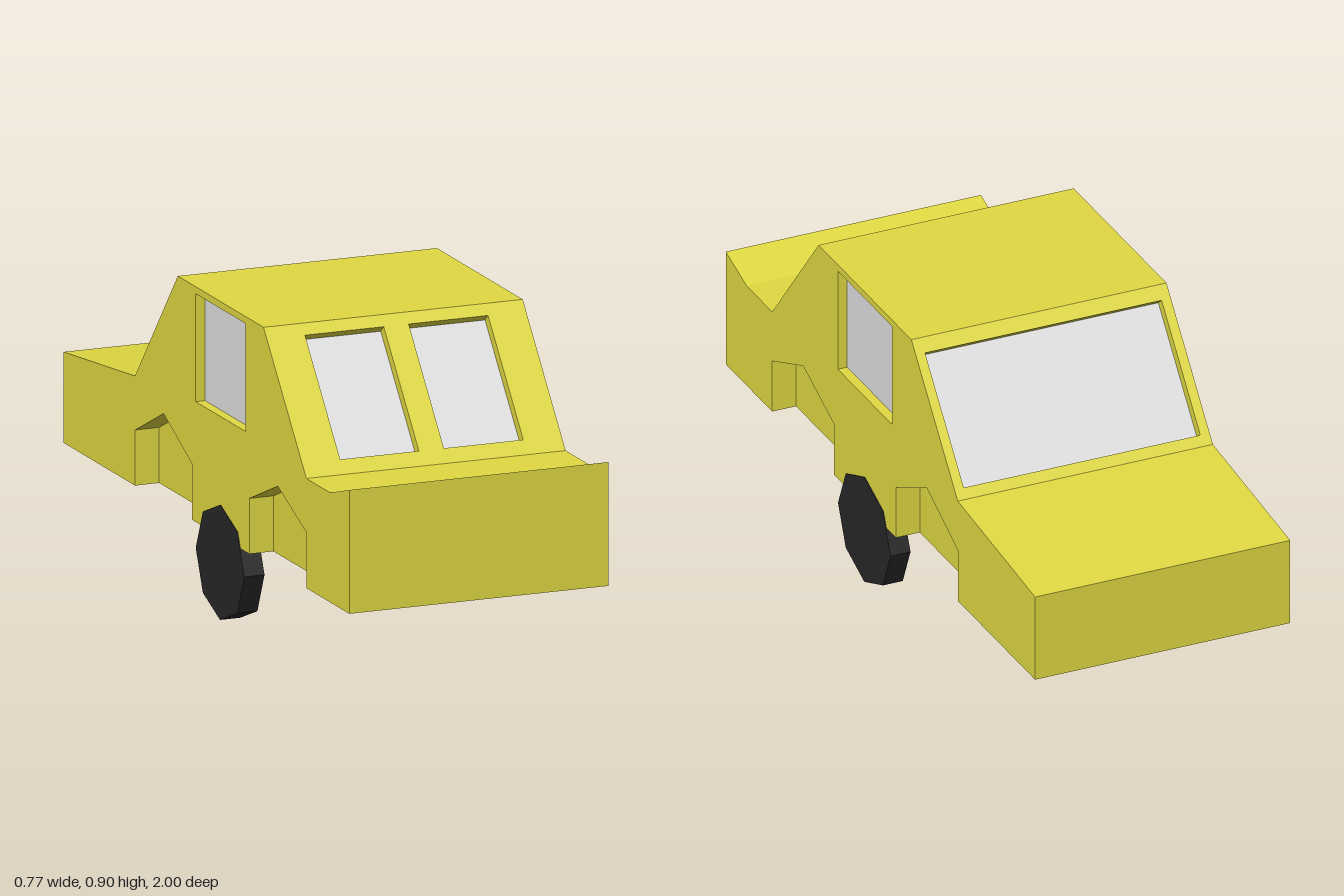
import * as THREE from 'three';

const paint = new THREE.MeshStandardMaterial({ color: 0xe0d942 });
paint.name = 'yellow paint';
const glass = new THREE.MeshStandardMaterial({ color: 0xe0e0e0 });
glass.name = 'pale glass';
const rubber = new THREE.MeshStandardMaterial({ color: 0x272727 });
rubber.name = 'black rubber';

const W = 0.385;      // half width
const BASE = 0.235;   // underside height
const ARCH_DEPTH = 0.072;
const WINDOW_DEPTH = 0.028;

// Side profile as [z, y], from the front bottom over the roof to the back bottom
const profile = [
  [1, BASE], [1, 0.585], [0.865, 0.545], [0.7, 0.545], [0.4, 0.9],
  [-0.2, 0.9], [-0.5, 0.545], [-1, 0.492], [-1, BASE],
];
const stripNames = ['frontPanel', 'hoodLip', 'hood', 'windshieldFrame', 'roof', 'rearWindowFrame', 'rearDeck', 'rearPanel'];

// Wheel arches as [z, y], in order of rising z
const arch = (z0, z1, peak) => [[z0, BASE], [z0, 0.392], [(z0 + z1) / 2, peak], [z1, 0.392], [z1, BASE]];
const arches = [arch(-0.5, -0.1, 0.487), arch(0.3, 0.7, 0.475)];

const rect = (u0, u1, v0, v1) => [[u0, v0], [u1, v0], [u1, v1], [u0, v1]];
const toVectors = (pts) => pts.map(([u, v]) => new THREE.Vector2(u, v));

function add(parent, name, geometry, material) {
  const mesh = new THREE.Mesh(geometry, material);
  mesh.name = name;
  parent.add(mesh);
  return mesh;
}

// Walls running inward from a counter-clockwise line of points
function walls(pts, depth, closed) {
  const pos = [];
  const count = closed ? pts.length : pts.length - 1;
  for (let i = 0; i < count; i++) {
    const p = pts[i], q = pts[(i + 1) % pts.length];
    pos.push(...p, 0, ...q, 0, ...q, -depth, ...p, 0, ...q, -depth, ...p, -depth);
  }
  const g = new THREE.BufferGeometry();
  g.setAttribute('position', new THREE.Float32BufferAttribute(pos, 3));
  g.computeVertexNormals();
  return g;
}

// Flat body panel with sunken windows
function panel(name, outline, windows = []) {
  const group = new THREE.Group();
  group.name = name;
  const shape = new THREE.Shape(toVectors(outline));
  windows.forEach((w) => shape.holes.push(new THREE.Path(toVectors(w))));
  add(group, name + 'Skin', new THREE.ShapeGeometry(shape), paint);
  windows.forEach((w) => {
    add(group, 'windowReveal', walls(w, WINDOW_DEPTH, true), paint);
    const pane = new THREE.ShapeGeometry(new THREE.Shape(toVectors(w)));
    add(group, 'windowPane', pane, glass).position.z = -WINDOW_DEPTH;
  });
  return group;
}

// Places a panel so its own y runs from profile point a towards b
function layAlong(group, a, b) {
  const v = new THREE.Vector3(0, b[1] - a[1], b[0] - a[0]).normalize();
  const u = new THREE.Vector3(1, 0, 0);
  const m = new THREE.Matrix4().makeBasis(u, v, u.clone().cross(v));
  group.quaternion.setFromRotationMatrix(m);
  group.position.set(0, a[1], a[0]);
  return group;
}

export function createModel() {
  const model = new THREE.Group();
  model.name = 'car';

  // Panels across the car, from the front over the roof to the back
  const stripWindows = {
    windshieldFrame: [rect(-0.272, -0.038, 0.046, 0.428), rect(0.036, 0.272, 0.046, 0.428)],
    rearWindowFrame: [rect(-0.357, 0.357, 0.044, 0.432)],
  };
  stripNames.forEach((name, i) => {
    const a = profile[i], b = profile[i + 1];
    const length = Math.hypot(b[0] - a[0], b[1] - a[1]);
    model.add(layAlong(panel(name, rect(-W, W, 0, length), stripWindows[name]), a, b));
  });

  // Underside, notched at the wheel arches
  const edge = [[W, 0]];
  arches.forEach((pts) => {
    const v0 = pts[0][0] + 1, v1 = pts[4][0] + 1, inner = W - ARCH_DEPTH;
    edge.push([W, v0], [inner, v0], [inner, v1], [W, v1]);
  });
  edge.push([W, 2]);
  const mirrored = edge.map(([u, v]) => [-u, v]).reverse();
  model.add(layAlong(panel('underside', [...edge, ...mirrored]), [-1, BASE], [1, BASE]));

  // Sides with window, arches and wheel
  for (const side of [1, -1]) {
    const label = side > 0 ? 'left' : 'right';
    const flip = (pts) => {
      const out = pts.map(([z, y]) => [-side * z, y]);
      return side > 0 ? out : out.reverse();
    };
    const windowHole = flip(rect(-0.075, 0.275, 0.575, 0.88).reverse());
    const group = panel(label + 'Side', flip([...profile, ...arches.flat()]), [windowHole]);
    arches.forEach((pts) => {
      const line = flip(pts);
      add(group, 'wheelArchLining', walls(line, ARCH_DEPTH, false), paint);
      const back = new THREE.ShapeGeometry(new THREE.Shape(toVectors(line)));
      add(group, 'wheelArchBack', back, paint).position.z = -ARCH_DEPTH;
    });
    group.rotation.y = side * Math.PI / 2;
    group.position.x = side * W;
    model.add(group);

    // Eight-sided wheel
    const tyre = new THREE.CylinderGeometry(0.17, 0.17, 0.06, 8).toNonIndexed();
    tyre.rotateZ(Math.PI / 2);
    tyre.scale(1, 0.957, 1);
    tyre.computeVertexNormals();
    add(model, label + 'Wheel', tyre, rubber).position.set(side * 0.357, 0.163, 0.1);
  }
  return model;
}
